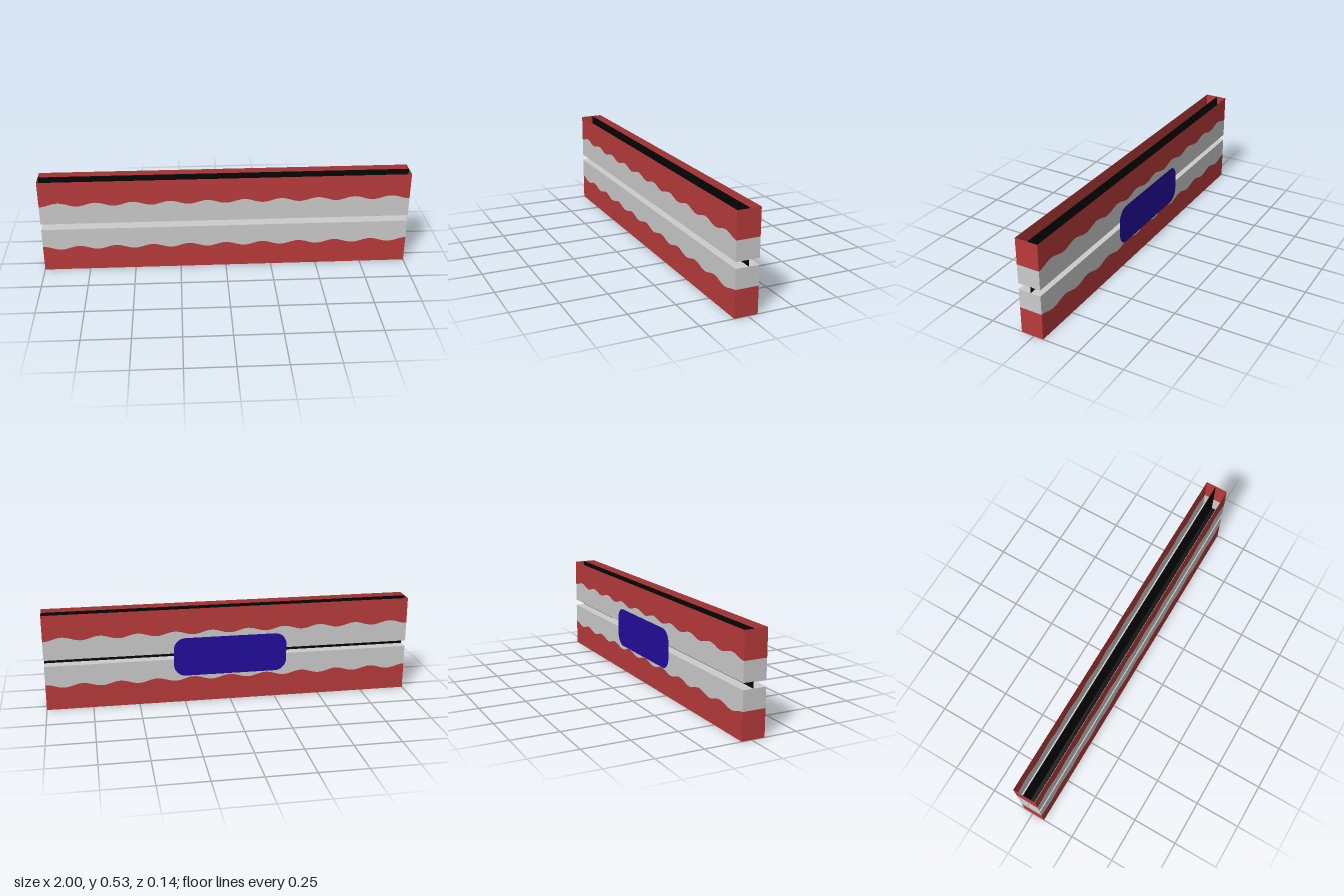
import * as THREE from 'three';

const mat = (name, color) => {
  const m = new THREE.MeshStandardMaterial({ color, side: THREE.DoubleSide });
  m.name = name;
  return m;
};

const MID = 0.265, TOP = 0.53, GAP = 0.282;   // mid height, rim and floor of the upper channel
const FRONT = 0.072, BACK = -0.053, SPLIT = 0.386;
const DEPTH = FRONT - BACK, CENTRE = (FRONT + BACK) / 2;

// Wavy border between the two colours, ten scallops along the length
const wave = (x) => SPLIT + 0.01 * (1 - Math.cos(Math.PI * 10 * (x + 1)));

// Wall panel between a straight edge and the wavy border
function wavyPanel(edge, flip) {
  const shape = new THREE.Shape();
  shape.moveTo(-1, flip(edge));
  for (let i = 0; i <= 120; i++) {
    const x = -1 + i / 60;
    shape.lineTo(x, flip(wave(x)));
  }
  shape.lineTo(1, flip(edge));
  return new THREE.ShapeGeometry(shape);
}

function roundedRect(w, h, r) {
  const s = new THREE.Shape();
  const x = w / 2, y = h / 2;
  s.moveTo(-x + r, -y);
  s.lineTo(x - r, -y);
  s.absarc(x - r, -y + r, r, -Math.PI / 2, 0);
  s.absarc(x - r, y - r, r, 0, Math.PI / 2);
  s.absarc(-x + r, y - r, r, Math.PI / 2, Math.PI);
  s.absarc(-x + r, -y + r, r, Math.PI, Math.PI * 1.5);
  return new THREE.ShapeGeometry(s, 12);
}

export function createModel() {
  const model = new THREE.Group();
  const red = mat('red', 0xba3b3b);
  const grey = mat('light grey', 0xcccccc);
  const black = mat('black', 0x050505);
  const blue = mat('deep blue', 0x220c9c);

  const add = (parent, name, geo, material, x = 0, y = 0, z = 0) => {
    const m = new THREE.Mesh(geo, material);
    m.name = name;
    m.position.set(x, y, z);
    parent.add(m);
    return m;
  };

  // Two mirrored open channels, one above the gap and one below
  for (const [name, flip] of [['upperChannel', (y) => y], ['lowerChannel', (y) => 2 * MID - y]]) {
    const channel = new THREE.Group();
    channel.name = name;
    model.add(channel);

    // Long walls
    for (const [side, z] of [['front', FRONT], ['back', BACK]]) {
      add(channel, side + 'RedWall', wavyPanel(TOP, flip), red, 0, 0, z);
      add(channel, side + 'GreyWall', wavyPanel(GAP, flip), grey, 0, 0, z);
    }

    // End walls
    for (const [side, x] of [['left', 1], ['right', -1]]) {
      for (const [tone, material, a, b] of [['Red', red, SPLIT, TOP], ['Grey', grey, GAP, SPLIT]]) {
        const end = add(channel, side + tone + 'End', new THREE.PlaneGeometry(DEPTH, b - a),
          material, x, flip((a + b) / 2), CENTRE);
        end.rotation.y = x * Math.PI / 2;
      }
    }

    // Floor facing the gap, with a dark strip along its inside
    const floor = add(channel, 'floor', new THREE.PlaneGeometry(2, DEPTH), grey, 0, flip(GAP), CENTRE);
    floor.rotation.x = -Math.PI / 2;
    const strip = add(channel, 'floorStrip', new THREE.PlaneGeometry(2, 0.053), black, 0, flip(GAP + 0.003), 0);
    strip.rotation.x = -Math.PI / 2;
  }

  // Thin upright core running through both channels
  add(model, 'core', new THREE.PlaneGeometry(2, TOP), black, 0, MID, 0.003);

  // Rounded plate standing off the back
  const plate = add(model, 'backPlate', roundedRect(0.62, 0.215, 0.065), blue, 0, MID, -FRONT);
  plate.rotation.y = Math.PI;

  return model;
}
